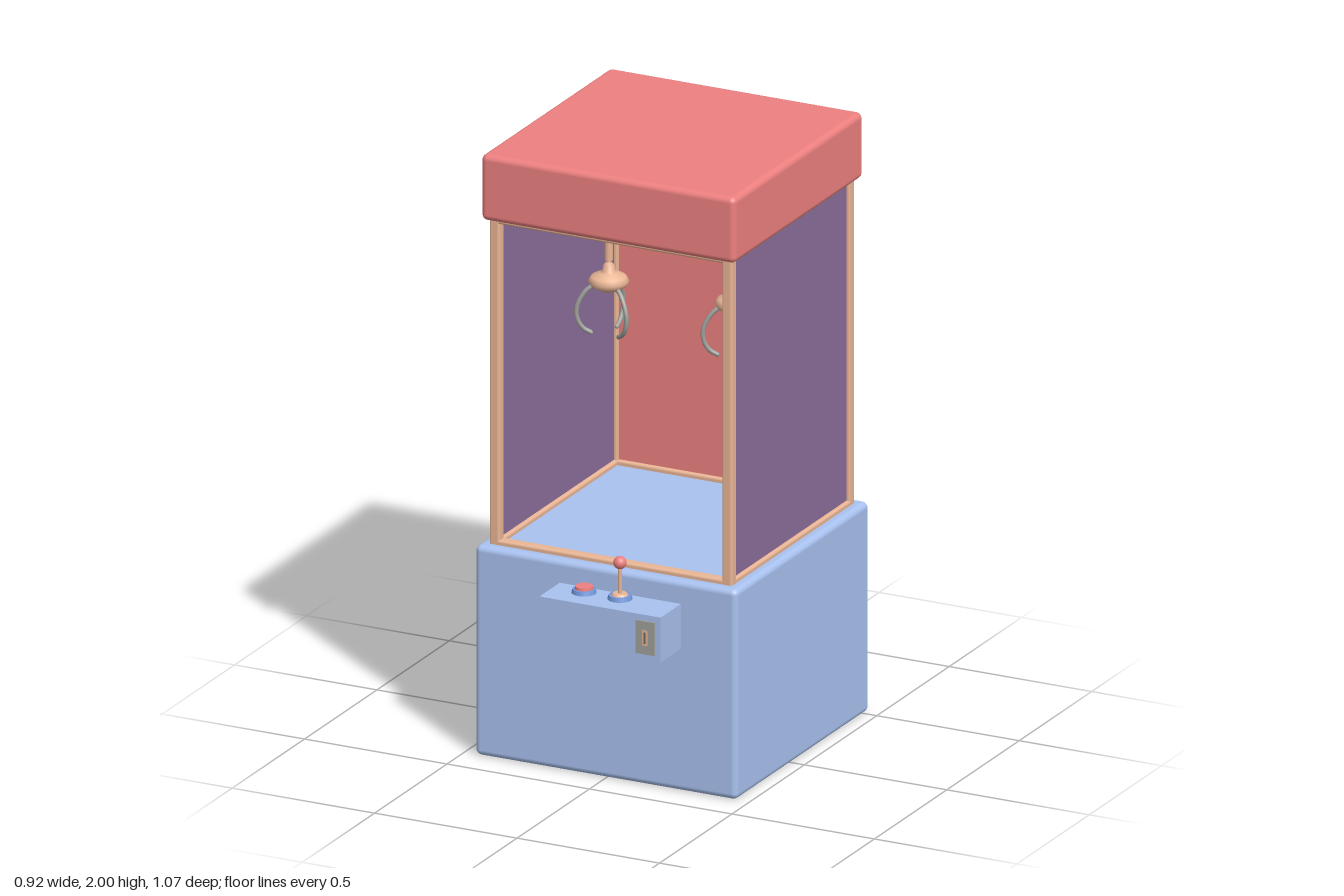
import * as THREE from 'three';
import { RoundedBoxGeometry } from 'three/addons/geometries/RoundedBoxGeometry.js';

const paint = (color) => new THREE.MeshStandardMaterial({ color });
const red = paint(0xee8080);
const blue = paint(0xa9c2f0);
const deepBlue = paint(0x7398dc);
const purple = paint(0x8c6e9c);
const tan = paint(0xeab696);
const steel = paint(0xa0a09c);
const dark = paint(0x6c6a66);

const CZ = -0.07; // centre of the cabinet in z

function add(parent, name, geometry, material, x = 0, y = 0, z = 0) {
  const mesh = new THREE.Mesh(geometry, material);
  mesh.name = name;
  mesh.position.set(x, y, z);
  parent.add(mesh);
  return mesh;
}

const box = (w, h, d) => new THREE.BoxGeometry(w, h, d);
const rounded = (w, h, d, r) => new RoundedBoxGeometry(w, h, d, 4, r);
const cylinder = (rTop, rBottom, h) => new THREE.CylinderGeometry(rTop, rBottom, h, 32);

// Hanging claw: rod, hub and three curved prongs
function createClaw() {
  const claw = new THREE.Group();
  claw.name = 'claw';
  add(claw, 'clawRod', cylinder(0.013, 0.013, 0.26), tan, 0, 1.67);
  add(claw, 'clawNeck', cylinder(0.007, 0.007, 0.06), tan, 0, 1.525);
  const profile = [[0, 1.437], [0.03, 1.441], [0.055, 1.455], [0.065, 1.472], [0.055, 1.487],
    [0.03, 1.499], [0.02, 1.505], [0.017, 1.525], [0.008, 1.533], [0, 1.534]];
  add(claw, 'clawHub', new THREE.LatheGeometry(profile.map(([r, y]) => new THREE.Vector2(r, y)), 32), tan);

  const path = new THREE.CatmullRomCurve3([[0.045, 1.46], [0.075, 1.435], [0.1, 1.385],
    [0.098, 1.345], [0.08, 1.315], [0.056, 1.3]].map(([r, y]) => new THREE.Vector3(r, y, 0)));
  const prong = new THREE.TubeGeometry(path, 24, 0.0075, 10);
  for (let i = 0; i < 3; i++) {
    const pivot = new THREE.Group();
    pivot.name = 'prong';
    pivot.rotation.y = Math.PI / 2 + i * Math.PI * 2 / 3; // first one points to the back
    add(pivot, 'prongArm', prong, steel);
    add(pivot, 'prongTip', new THREE.SphereGeometry(0.0075, 10, 8), steel, 0.056, 1.3);
    claw.add(pivot);
  }
  return claw;
}

// Control box on the front with button, joystick and coin slot
function createControls() {
  const controls = new THREE.Group();
  controls.name = 'controls';
  add(controls, 'controlBox', box(0.425, 0.15, 0.16), blue, 0.0525, 0.55, 0.45);

  add(controls, 'buttonRing', cylinder(0.036, 0.04, 0.014), deepBlue, -0.053, 0.631, 0.433);
  add(controls, 'button', cylinder(0.028, 0.03, 0.014), red, -0.053, 0.64, 0.433);

  add(controls, 'joystickRing', cylinder(0.036, 0.04, 0.014), deepBlue, 0.073, 0.631, 0.433);
  add(controls, 'joystickCollar', cylinder(0.022, 0.028, 0.008), tan, 0.073, 0.64, 0.433);
  add(controls, 'joystickRod', cylinder(0.006, 0.006, 0.11), tan, 0.073, 0.69, 0.433);
  add(controls, 'joystickBall', new THREE.SphereGeometry(0.021, 24, 16), red, 0.073, 0.745, 0.433);

  add(controls, 'coinPlate', box(0.065, 0.11, 0.008), steel, 0.2125, 0.55, 0.531);
  add(controls, 'coinSlotFrame', box(0.018, 0.05, 0.006), tan, 0.2125, 0.55, 0.534);
  add(controls, 'coinSlot', box(0.007, 0.038, 0.004), dark, 0.2125, 0.55, 0.536);
  return controls;
}

// Four posts joined by rails at the bottom and the top
function createFrame() {
  const frame = new THREE.Group();
  frame.name = 'frame';
  const half = 0.408, t = 0.036;
  for (const s of [-1, 1]) {
    for (const q of [-1, 1]) {
      add(frame, 'post', rounded(t, 1.12, t, 0.008), tan, s * half, 1.24, CZ + q * half);
    }
    for (const y of [0.698, 1.787]) {
      add(frame, 'sideRail', rounded(t, t, 2 * half, 0.008), tan, s * half, y, CZ);
      add(frame, 'crossRail', rounded(2 * half, t, t, 0.008), tan, 0, y, CZ + s * half);
    }
  }
  return frame;
}

export function createModel() {
  const model = new THREE.Group();
  model.name = 'clawMachine';

  // Cabinet body and roof
  add(model, 'base', rounded(0.92, 0.7, 0.92, 0.02), blue, 0, 0.35, CZ);
  add(model, 'roof', rounded(0.892, 0.22, 0.892, 0.02), red, 0, 1.89, CZ);
  model.add(createFrame());

  // Side and back panels; the front stays open
  for (const s of [-1, 1]) {
    add(model, 'sidePanel', box(0.012, 1.1, 0.8), purple, s * 0.408, 1.24, CZ);
  }
  add(model, 'backPanel', box(0.8, 1.1, 0.012), red, 0, 1.24, CZ - 0.408);

  for (const s of [-1, 1]) {
    const claw = createClaw();
    claw.position.set(s * 0.222, 0, CZ);
    model.add(claw);
  }
  model.add(createControls());
  return model;
}
